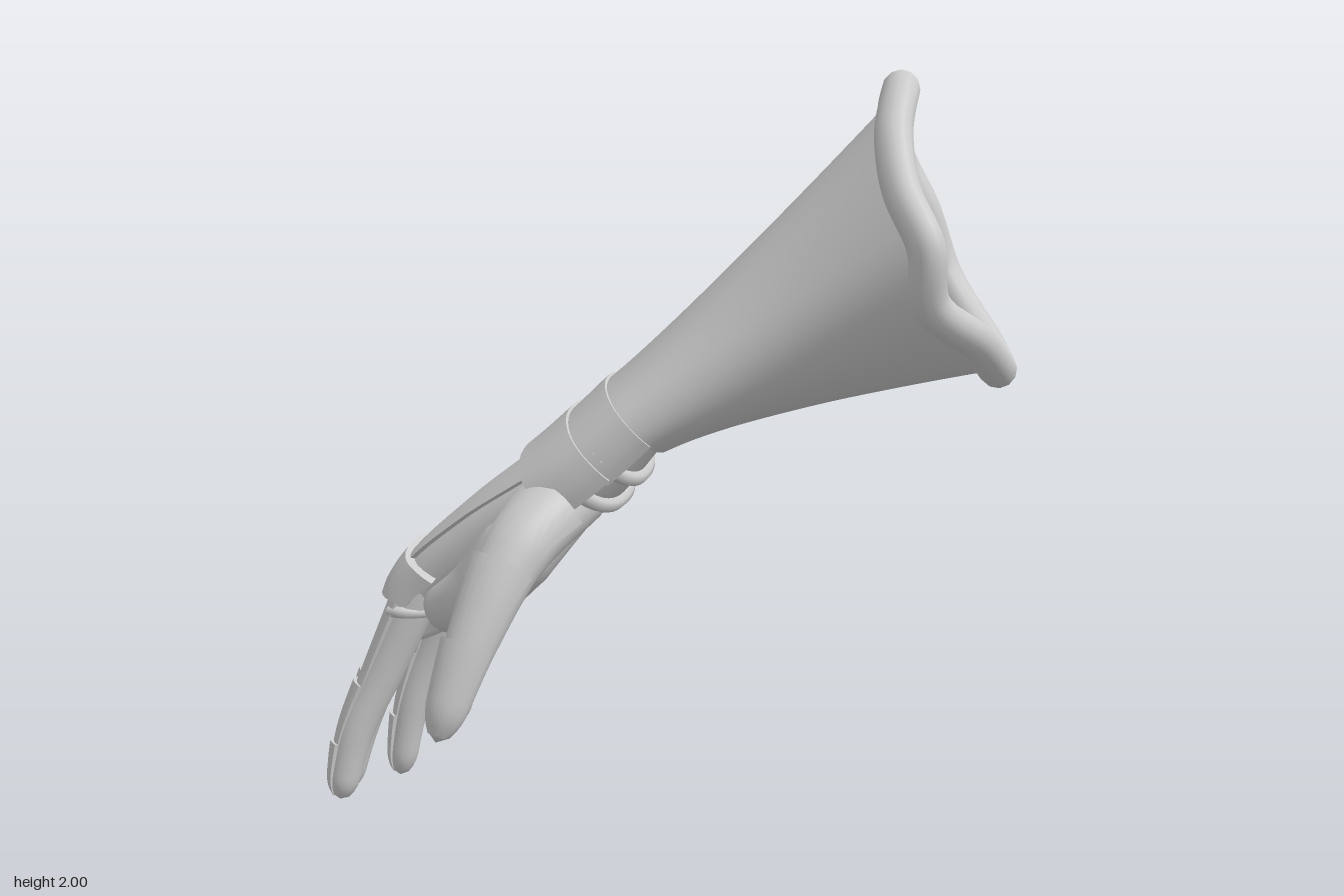
import * as THREE from 'three';
import { mergeVertices, toCreasedNormals } from 'three/addons/utils/BufferGeometryUtils.js';

const V = (x, y, z) => new THREE.Vector3(x, y, z);
const RAD = Math.PI / 180;
const material = new THREE.MeshStandardMaterial({ color: 0xcccccc, side: THREE.DoubleSide });

// Skin a list of equally long rows of points
function skin(name, rows, crease = 0.7) {
  const n = rows[0].length, index = [];
  for (let i = 0; i < rows.length - 1; i++)
    for (let j = 0; j < n - 1; j++) {
      const a = i * n + j, b = a + 1, c = a + n, d = c + 1;
      index.push(a, b, c, b, d, c);
    }
  let geo = new THREE.BufferGeometry().setFromPoints(rows.flat());
  geo.setIndex(index);
  geo = toCreasedNormals(mergeVertices(geo, 1e-4), crease);
  const mesh = new THREE.Mesh(geo, material);
  mesh.name = name;
  return mesh;
}

// Rows over a surface at(s, angle, scale)
function sweep(at, s0, s1, steps, a0 = 0, a1 = 360, k = 1, cols = 32) {
  return Array.from({ length: steps + 1 }, (_, i) =>
    Array.from({ length: cols + 1 }, (_, j) =>
      at(s0 + (s1 - s0) * i / steps, a0 + (a1 - a0) * j / cols, k)));
}

// Raised plate: an outer skin whose border turns down to the surface below
function plate(name, at, s0, s1, a0, a1, k, steps = 6) {
  const rows = sweep(at, s0, s1, steps, a0, a1, k, 24).map((row, i) => {
    const s = s0 + (s1 - s0) * i / steps;
    return [at(s, a0, 0.95), ...row, at(s, a1, 0.95)];
  });
  const edge = s => {
    const r = sweep(at, s, s, 1, a0, a1, 0.95, 24)[0];
    return [r[0], ...r, r[r.length - 1]];
  };
  return skin(name, [edge(s0), ...rows, edge(s1)]);
}

// Palm and wrist surface: angle 0 is the thumb side, 90 the back of the hand
const handPath = new THREE.CatmullRomCurve3([
  V(-0.05, 1.13, 0.01), V(-0.19, 0.97, 0.105), V(-0.38, 0.81, 0.165),
  V(-0.52, 0.65, 0.225), V(-0.56, 0.51, 0.27)]);
// half width, half thickness, heading of the width in degrees
const handSize = new THREE.CatmullRomCurve3([
  V(0.215, 0.1, 55), V(0.23, 0.1, 64), V(0.26, 0.095, 75),
  V(0.265, 0.085, 82), V(0.24, 0.045, 80)], false, 'catmullrom');
function hand(s, angle, k) {
  const t = Math.min(Math.max(s / 4, 0), 1);
  const size = handSize.getPoint(t), axis = handPath.getTangent(t).negate();
  const v = V(Math.cos(size.z * RAD), 0, Math.sin(size.z * RAD));
  const w = v.clone().cross(axis).normalize();
  const c = Math.cos(angle * RAD), n = Math.sin(angle * RAD);
  const grow = (k - 1) * 0.13;
  const fleshy = n < 0 ? 1 + 0.45 * Math.sin(Math.PI * t) : 1;
  return handPath.getPoint(t)
    .addScaledVector(v, (size.x + grow) * Math.sign(c) * Math.abs(c) ** 0.88)
    .addScaledVector(w, (size.y * fleshy + grow) * Math.sign(n) * Math.abs(n) ** 0.88);
}

// Round limb along a path with a rounded tip; angle 0 faces "back"
function limb(points, radii, back) {
  const path = new THREE.CatmullRomCurve3(points);
  return (s, angle, k) => {
    const f = Math.min(s * (radii.length - 1), radii.length - 1.0001), i = Math.floor(f);
    let r = THREE.MathUtils.lerp(radii[i], radii[i + 1], f - i);
    if (s > 0.88) r *= Math.sqrt(Math.max(0, 1 - ((s - 0.88) / 0.12) ** 2));
    const t = path.getTangent(s);
    const b = back.clone().addScaledVector(t, -back.dot(t)).normalize();
    const side = t.clone().cross(b);
    return path.getPoint(s)
      .addScaledVector(b, r * k * Math.cos(angle * RAD))
      .addScaledVector(side, r * k * Math.sin(angle * RAD));
  };
}

function strap(name, at, radius) {
  const pts = Array.from({ length: 17 }, (_, i) => at(i / 16));
  const mesh = new THREE.Mesh(
    new THREE.TubeGeometry(new THREE.CatmullRomCurve3(pts), 40, radius, 8), material);
  mesh.name = name;
  return mesh;
}

export function createModel() {
  const model = new THREE.Group();
  model.name = 'gauntlet';

  // Flared sleeve with a wavy rolled rim
  const rim = new THREE.CatmullRomCurve3([
    V(0.47, 1.953, -0.38), V(0.535, 1.85, -0.25), V(0.61, 1.72, -0.175), V(0.7, 1.59, -0.15),
    V(0.7, 1.45, -0.18), V(0.745, 1.35, -0.32), V(0.71, 1.25, -0.5), V(0.6, 1.29, -0.625),
    V(0.44, 1.45, -0.675), V(0.38, 1.63, -0.645), V(0.32, 1.78, -0.6), V(0.38, 1.9, -0.5)], true);
  const c0 = handPath.getPoint(0.02), c1 = V(0.55, 1.6, -0.42);
  const sleeve = (t, angle, k) => {
    const u = (((90 - angle) / 360) % 1 + 1) % 1;
    const near = hand(0.08, angle, 1.14).sub(c0);
    const far = rim.getPoint(u).sub(c1);
    const waist = V(-0.025, 0, -0.035).multiplyScalar(Math.sin(Math.PI * t) * Math.max(0, Math.cos(angle * RAD)));
    return c0.clone().lerp(c1, t).addScaledVector(near.lerp(far, t ** 1.2).add(waist), k);
  };
  model.add(skin('sleeve', sweep(sleeve, 1, 0, 20, 0, 360, 1, 60), 1.2));
  const rimMesh = new THREE.Mesh(new THREE.TubeGeometry(rim, 120, 0.048, 12, true), material);
  rimMesh.name = 'rolledRim';
  model.add(rimMesh);
  // Floor inside the sleeve
  const ring = sweep(sleeve, 0.66, 0.66, 1)[0];
  model.add(skin('sleeveFloor', [ring, ring.map(() => c0.clone().lerp(c1, 0.66))]));

  // Palm, closed between the fingers
  const palm = sweep(hand, 0, 4, 28);
  palm.push(palm[28].map(() => V(-0.57, 0.48, 0.275)));
  model.add(skin('palm', palm, 1.2));

  // Wrist bands, back plate and knuckle guard
  model.add(plate('upperWristBand', hand, 0.05, 0.62, -30, 203, 1.2));
  model.add(plate('lowerWristBand', hand, 0.56, 1.2, -25, 198, 1.26));
  model.add(plate('backPlate', hand, 1.1, 2.9, 28, 165, 1.1, 12));
  const curvedHand = (s, a, k) => hand(s + 0.15 * Math.sin(a * RAD), a, k);
  model.add(plate('knuckleGuard', curvedHand, 2.58, 3.12, -14, 186, 1.22));

  // Thin straps across the palm side
  for (const s of [0.5, 0.88])
    model.add(strap('wristStrap', t => hand(s, 175 + 190 * t, 1.05), 0.02));
  model.add(strap('palmStrap', t => hand(2.65 + 0.75 * t, 178 + 190 * t, 1.03), 0.016));

  // Fingers, each with three overlapping plates on the back
  const fingers = {
    littleFinger: [V(-0.5, 0.68, 0.03), V(-0.61, 0.46, 0.055), V(-0.68, 0.29, 0.07), V(-0.725, 0.11, 0.08)],
    ringFinger: [V(-0.55, 0.69, 0.15), V(-0.66, 0.42, 0.2), V(-0.715, 0.22, 0.25), V(-0.745, 0.005, 0.28)],
    middleFinger: [V(-0.55, 0.69, 0.31), V(-0.66, 0.41, 0.38), V(-0.725, 0.21, 0.43), V(-0.765, 0.015, 0.465)],
    indexFinger: [V(-0.47, 0.66, 0.42), V(-0.55, 0.42, 0.5), V(-0.6, 0.25, 0.565), V(-0.625, 0.07, 0.605)]
  };
  const addDigit = (name, at, cuts, spread) => {
    const digit = new THREE.Group();
    digit.name = name;
    digit.add(skin(name + 'Core', sweep(at, 0, 1, 40, 0, 360, 1, 20), 1.2));
    for (let i = 0; i < 3; i++) {
      const [s0, s1] = [cuts[i], cuts[i + 1]];
      const flared = (s, a, k) => at(s, a, k < 1 ? k : k - 0.2 * (s - s0) / (s1 - s0));
      digit.add(plate(name + 'Plate', flared, s0, s1, -spread, spread, 1.3, 10));
    }
    model.add(digit);
  };
  for (const [name, points] of Object.entries(fingers))
    addDigit(name, limb(points, [0.056, 0.052, 0.047, 0.039], V(-0.8, 0.5, 0)), [0.06, 0.42, 0.72, 0.98], 80);

  // Thumb with its plates
  const thumb = limb([V(-0.12, 0.93, 0.2), V(-0.13, 0.81, 0.41), V(-0.135, 0.62, 0.565), V(-0.145, 0.38, 0.695)],
    [0.09, 0.083, 0.066, 0.046], V(0.5, 0.5, 0.7));
  addDigit('thumb', thumb, [0.14, 0.42, 0.7, 0.98], 55);

  // Fleshy web between thumb and index finger
  const web = limb([V(-0.12, 0.95, 0.16), V(-0.21, 0.78, 0.33), V(-0.31, 0.66, 0.38), V(-0.46, 0.59, 0.4)],
    [0.08, 0.105, 0.09, 0.07], V(0, 0.3, 1));
  model.add(skin('thumbWeb', sweep(web, 0, 1, 30, 0, 360, 1, 24), 1.2));

  return model;
}
